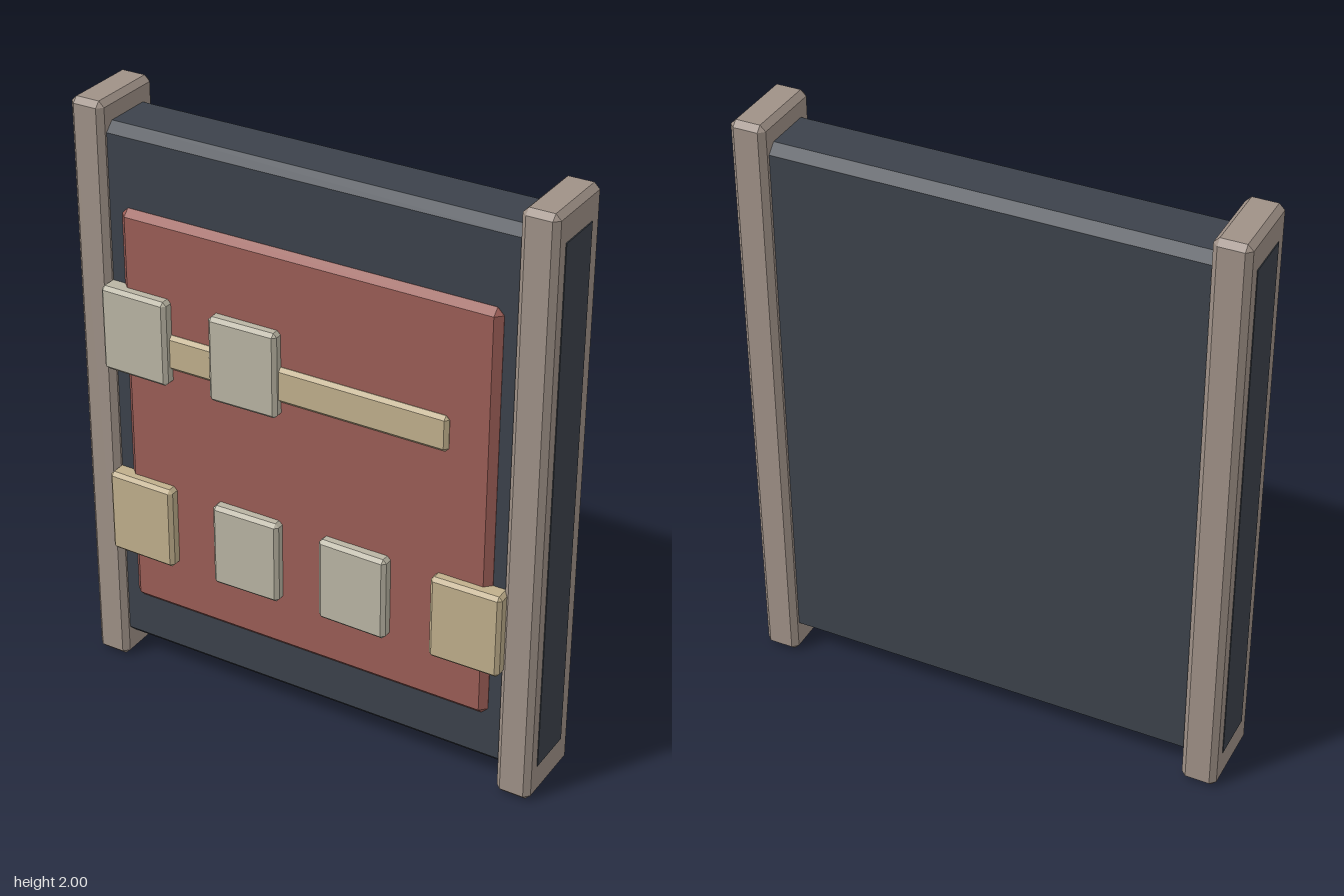
import * as THREE from 'three';
import { ConvexGeometry } from 'three/addons/geometries/ConvexGeometry.js';

// Box with every edge and corner cut by a flat chamfer c
function chamferBox(w, h, d, c) {
  const half = [w / 2, h / 2, d / 2];
  const points = [];
  for (const sx of [-1, 1]) for (const sy of [-1, 1]) for (const sz of [-1, 1]) {
    for (let face = 0; face < 3; face++) {
      const p = half.map((v, axis) => (axis === face ? v : v - c));
      points.push(new THREE.Vector3(sx * p[0], sy * p[1], sz * p[2]));
    }
  }
  return new ConvexGeometry(points);
}

const paint = (color) => new THREE.MeshStandardMaterial({ color, flatShading: true });

export function createModel() {
  const group = new THREE.Group();
  const slate = paint(0x3c424b);
  const timber = paint(0x9f9187);
  const red = paint(0x9b5d56);
  const stone = paint(0xbab5a4);
  const sand = paint(0xc0af8c);

  // Part given by its limits on each axis
  function part(name, material, [x0, x1], [y0, y1], [z0, z1], chamfer) {
    const mesh = new THREE.Mesh(chamferBox(x1 - x0, y1 - y0, z1 - z0, chamfer), material);
    mesh.position.set((x0 + x1) / 2, (y0 + y1) / 2, (z0 + z1) / 2);
    mesh.name = name;
    group.add(mesh);
    return mesh;
  }

  // Board, its ends showing just proud of the posts
  part('board', slate, [-0.814, 0.814], [0.08, 1.93], [-0.127, 0.095], 0.03);

  // Side posts
  part('leftPost', timber, [0.695, 0.812], [0, 2], [-0.155, 0.12], 0.018);
  part('rightPost', timber, [-0.812, -0.695], [0, 2], [-0.155, 0.12], 0.018);

  // Raised panel and the rail across it
  part('panel', red, [-0.65, 0.65], [0.265, 1.67], [0.04, 0.118], 0.022);
  part('rail', sand, [-0.5, 0.5], [1.17, 1.29], [0.08, 0.132], 0.012);

  // Tiles: column centre, bottom edge, material, slight turn
  const tiles = [
    [-0.588, 1.12, stone, -0.015],
    [-0.195, 1.12, stone, 0.015],
    [-0.588, 0.452, sand, -0.015],
    [-0.195, 0.452, stone, 0.015],
    [0.192, 0.452, stone, -0.015],
    [0.585, 0.452, sand, 0.015],
  ];
  tiles.forEach(([x, y, material, turn], i) => {
    const tile = part(`tile${i + 1}`, material, [x - 0.12, x + 0.12], [y, y + 0.29], [0.085, 0.154], 0.012);
    tile.rotation.y = turn;
  });

  return group;
}
